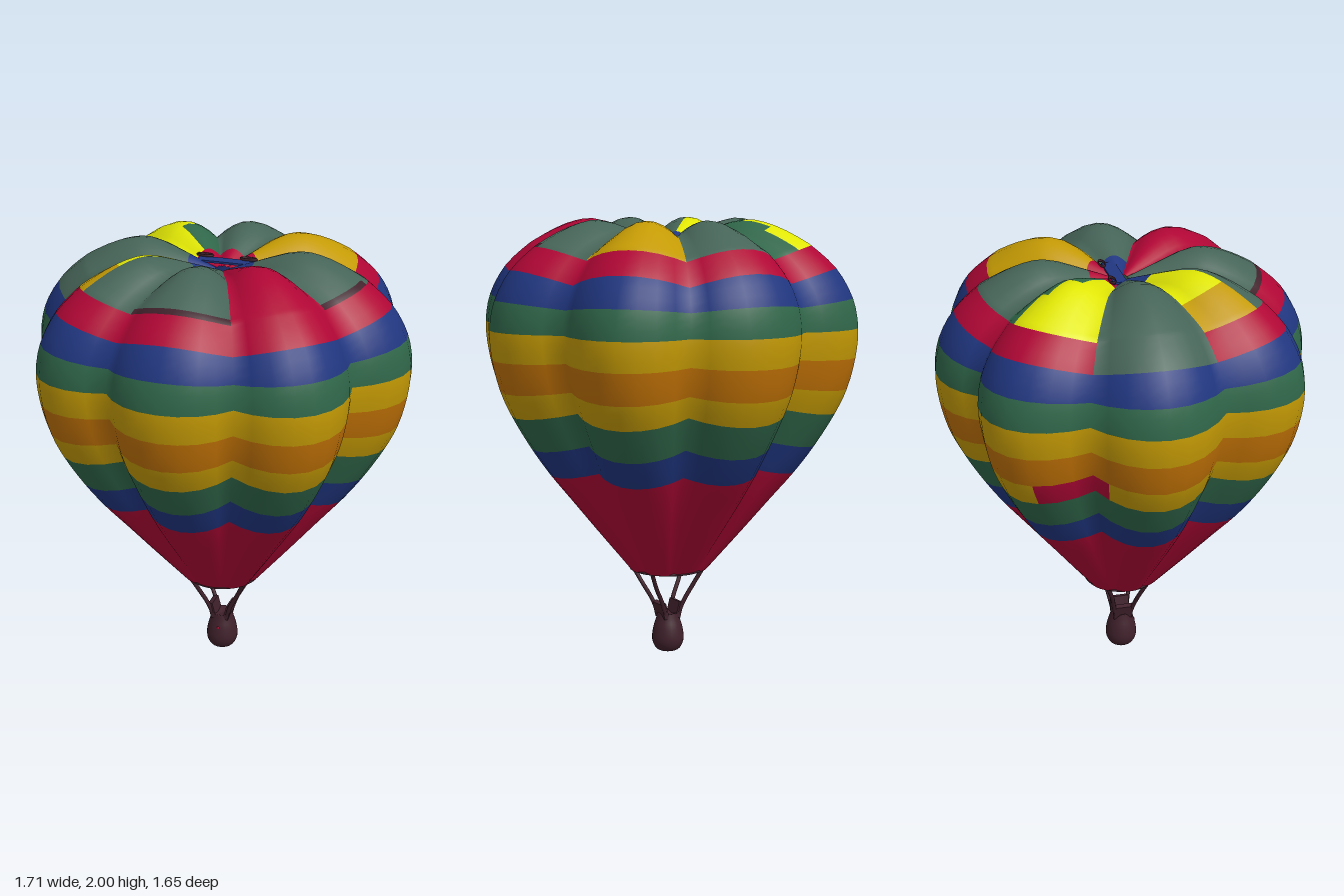
import * as THREE from 'three';

const mat = (name, color) => Object.assign(new THREE.MeshStandardMaterial({ color, side: THREE.DoubleSide }), { name });
const palette = {
  crimson: mat('crimson', 0xb00635),
  blue: mat('blue', 0x203680),
  green: mat('green', 0x30674a),
  gold: mat('gold', 0xc49a04),
  orange: mat('orange', 0xbe7004),
  yellow: mat('yellow', 0xe0e604),
  sage: mat('sage', 0x466458),
  maroon: mat('maroon', 0x40212b),
};
const names = Object.keys(palette);

// Envelope levels: crest radius and height, valley radius and height, colour of the band above
const levels = [
  [0.18, 0.40, 0.17, 0.40, 'crimson'],
  [0.35, 0.60, 0.31, 0.61, 'crimson'],
  [0.475, 0.75, 0.415, 0.77, 'crimson'],
  [0.58, 0.875, 0.495, 0.91, 'blue'],
  [0.67, 1.00, 0.56, 1.04, 'green'],
  [0.76, 1.15, 0.635, 1.19, 'gold'],
  [0.81, 1.26, 0.675, 1.285, 'orange'],
  [0.845, 1.40, 0.71, 1.41, 'gold'],
  [0.855, 1.53, 0.725, 1.53, 'green'],
  [0.83, 1.66, 0.71, 1.635, 'blue'],
  [0.755, 1.79, 0.66, 1.735, 'crimson'],
  [0.645, 1.888, 0.57, 1.835, 'rim'],
  [0.62, 1.905, 0.545, 1.852, 'top'],
  [0.48, 1.975, 0.42, 1.905, 'top'],
  [0.35, 2.00, 0.31, 1.93, 'top'],
  [0.15, 1.94, 0.15, 1.905, 'core'],
  [0.03, 1.895, 0.03, 1.89, null],
];

// Colours by half lobe, starting at the valley before the +x lobe and turning toward +z
const crown = [
  'sage', 'sage', 'crimson', 'crimson', 'sage', 'sage', 'sage', 'gold',
  'sage', 'sage', 'green', 'green', 'sage', 'sage', 'gold', 'gold',
];
const core = [
  'blue', 'blue', 'crimson', 'crimson', 'sage', 'sage', 'blue', 'blue',
  'blue', 'blue', 'crimson', 'crimson', 'crimson', 'crimson', 'crimson', 'crimson',
];
// How far the yellow wedge reaches across the back right lobe on each crown level
const yellowEnd = { 11: 11.5, 12: 11.5, 13: 11.25, 14: 10.75 };

function bandColour(level, h) {
  const band = levels[level][4], half = Math.floor(h);
  if (level === 5 && h >= 9.75 && h < 10.75) return 'crimson'; // patch in the gold band
  if (level === 10 && (half === 8 || half === 9)) return 'sage'; // crown runs lower on this lobe
  if (band === 'core') return core[half];
  if (band === 'rim' && [1, 4, 5].includes(half)) return 'maroon';
  if (band !== 'rim' && band !== 'top') return band;
  if (h >= 10 && h < yellowEnd[level]) return 'yellow';
  if (half === 7 && level >= 13) return 'yellow';
  return crown[half];
}

function makeEnvelope() {
  const perHalf = 4, perBand = 3, cols = 16 * perHalf;
  const rows = (levels.length - 1) * perBand;
  const curve = (r, y) => new THREE.CatmullRomCurve3(levels.map(l => new THREE.Vector3(l[r], l[y], 0)));
  const crest = curve(0, 1), valley = curve(2, 3);
  const pos = [], buckets = names.map(() => []);
  for (let i = 0; i <= rows; i++) {
    const c = crest.getPoint(i / rows), v = valley.getPoint(i / rows);
    for (let j = 0; j < cols; j++) {
      const a = (j / cols) * Math.PI * 2 - Math.PI / 8;
      const p = v.clone().lerp(c, Math.abs(Math.cos(4 * a))); // scalloped lobes
      const depth = 1.03 - 0.065 * Math.abs(Math.sin(a)) ** 16; // front and back lobes are flatter
      pos.push(p.x * Math.cos(a), Math.min(p.y, 2), p.x * Math.sin(a) * depth);
    }
  }
  for (let i = 0; i < rows; i++) for (let j = 0; j < cols; j++) {
    const a = i * cols + j, b = i * cols + (j + 1) % cols;
    const colour = bandColour(Math.floor(i / perBand), j / perHalf);
    buckets[names.indexOf(colour)].push(a, a + cols, b, b, a + cols, b + cols);
  }
  const geo = new THREE.BufferGeometry();
  geo.setAttribute('position', new THREE.Float32BufferAttribute(pos, 3));
  geo.setIndex(buckets.flat());
  let start = 0;
  buckets.forEach((b, k) => { geo.addGroup(start, b.length, k); start += b.length; });
  geo.computeVertexNormals();
  return new THREE.Mesh(geo, names.map(n => palette[n]));
}

export function createModel() {
  const model = new THREE.Group();
  model.name = 'hotAirBalloon';
  const add = (name, mesh, x = 0, y = 0, z = 0) => {
    mesh.name = name;
    mesh.position.set(x, y, z);
    model.add(mesh);
    return mesh;
  };

  add('envelope', makeEnvelope());

  // Crown strap with a small vent rim at each end
  add('crownStrap', new THREE.Mesh(new THREE.BoxGeometry(0.24, 0.009, 0.06), palette.blue), 0, 1.917, -0.03);
  for (const sx of [-1, 1]) {
    const vent = add('ventRim', new THREE.Mesh(new THREE.TorusGeometry(0.035, 0.006, 6, 20), palette.maroon), sx * 0.1, 1.927, -0.063);
    vent.rotation.x = Math.PI / 2;
    vent.scale.y = 0.4;
  }

  // Mouth ring
  const ring = add('mouthRing', new THREE.Mesh(new THREE.TorusGeometry(0.172, 0.007, 8, 40), palette.maroon), 0, 0.402, 0);
  ring.rotation.x = Math.PI / 2;

  // Basket
  const profile = [[0, 0], [0.045, 0.006], [0.066, 0.03], [0.074, 0.065], [0.067, 0.115], [0.055, 0.155], [0.048, 0.185]];
  const spline = new THREE.SplineCurve(profile.map(p => new THREE.Vector2(...p)));
  const outline = [...spline.getPoints(20).map(p => p.setX(Math.max(p.x, 0))), new THREE.Vector2(0, 0.17)];
  add('basket', new THREE.Mesh(new THREE.LatheGeometry(outline, 24), palette.maroon));
  const dot = add('basketDot', new THREE.Mesh(new THREE.SphereGeometry(0.008, 10, 8), palette.crimson), 0, 0.12, 0.064);
  dot.scale.z = 0.4;

  // Raised basket sides and the four ropes
  for (const sx of [-1, 1]) {
    const flap = add('basketSide', new THREE.Mesh(new THREE.BoxGeometry(0.024, 0.075, 0.09), palette.maroon), sx * 0.038, 0.198, 0);
    flap.rotation.z = -sx * 0.25;
    for (const sz of [-1, 1]) {
      const path = new THREE.CatmullRomCurve3([
        new THREE.Vector3(sx * 0.036, 0.18, sz * 0.036),
        new THREE.Vector3(sx * 0.056, 0.24, sz * 0.048),
        new THREE.Vector3(sx * 0.098, 0.32, sz * 0.066),
        new THREE.Vector3(sx * 0.138, 0.405, sz * 0.095),
      ]);
      add('rope', new THREE.Mesh(new THREE.TubeGeometry(path, 12, 0.01, 8), palette.maroon));
    }
  }
  return model;
}
